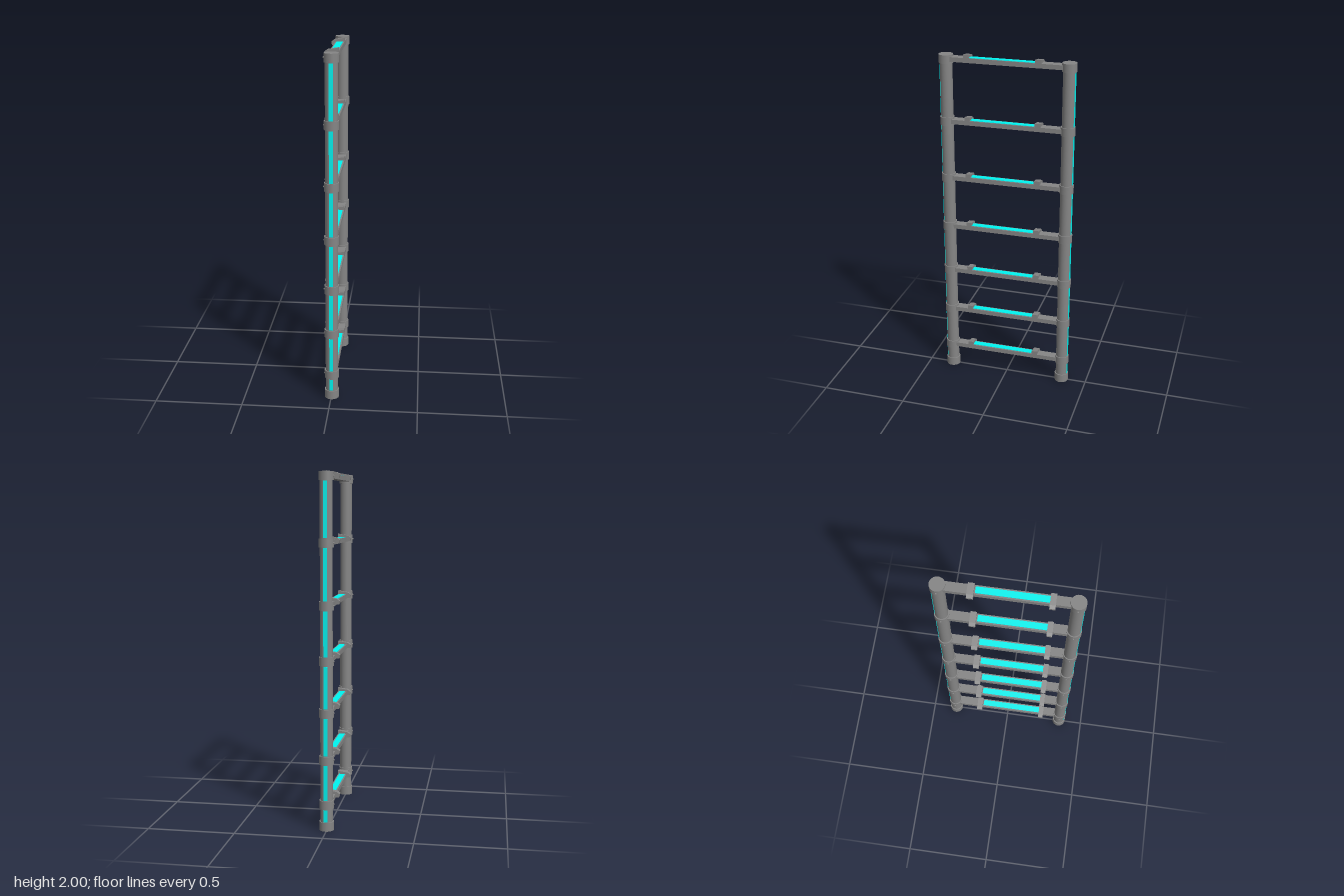
import * as THREE from 'three';

const CX = 0.003;      // rail axis in x
const RAIL_Z = 0.35;   // rail distance from the middle
const rungHeights = [0.149, 0.404, 0.67, 0.96, 1.266, 1.607, 1.965];

const darkGrey = new THREE.MeshStandardMaterial({ color: 0x858585 });
const cyan = new THREE.MeshStandardMaterial({ color: 0x00f4f0 });

function add(parent, name, geometry, material, x, y, z) {
  const mesh = new THREE.Mesh(geometry, material);
  mesh.name = name;
  mesh.position.set(x, y, z);
  parent.add(mesh);
}

// Hook profile in x and y (rung centre at y = 0), extruded along z
function clampGeometry(depth) {
  const shape = new THREE.Shape([
    [-0.022, -0.008], [0.03, -0.004], [0.03, 0.034], [-0.03, 0.024],
    [-0.046, 0.012], [-0.042, -0.008],
  ].map(([x, y]) => new THREE.Vector2(x, y)));
  return new THREE.ExtrudeGeometry(shape, { depth, bevelEnabled: false });
}

function buildRail(side) {
  const rail = new THREE.Group();
  rail.name = side > 0 ? 'frontRail' : 'backRail';
  const z = side * RAIL_Z;
  add(rail, 'railTube', new THREE.CylinderGeometry(0.035, 0.035, 1.97, 32), darkGrey, CX, 0.99, z);

  // Foot, then a collar at every rung
  const collars = [[0, 0.05], ...rungHeights.map((y) => [y - 0.024, y + 0.024])];
  collars.forEach(([low, high], i) => {
    const middle = (low + high) / 2;
    add(rail, i ? 'collar' : 'foot', new THREE.CylinderGeometry(0.041, 0.041, high - low, 32),
      darkGrey, CX, middle, z);
    if (i) add(rail, 'collarPin', new THREE.SphereGeometry(0.005, 12, 8), darkGrey, CX - 0.041, middle, z);

    // Light strip on the outer face between this collar and the next
    const next = collars[i + 1];
    if (next) {
      const length = next[0] - high - 0.006;
      add(rail, 'railStrip', new THREE.BoxGeometry(0.022, length, 0.006), cyan,
        CX, (next[0] + high) / 2, z + side * 0.0328);
    }
  });
  return rail;
}

function buildRung(y) {
  const rung = new THREE.Group();
  rung.name = 'rung';
  rung.position.y = y;
  add(rung, 'rungBar', new THREE.BoxGeometry(0.052, 0.026, 0.66), darkGrey, 0.004, 0, 0);
  add(rung, 'rungStrip', new THREE.BoxGeometry(0.036, 0.006, 0.37), cyan, 0.004, 0.012, 0.025);
  // Hooked clamps at the two ends of the strip
  add(rung, 'frontClamp', clampGeometry(0.03), darkGrey, 0, 0, 0.21);
  add(rung, 'backClamp', clampGeometry(0.034), darkGrey, 0, 0, -0.2);
  return rung;
}

export function createModel() {
  const ladder = new THREE.Group();
  ladder.name = 'ladder';
  for (const side of [1, -1]) ladder.add(buildRail(side));
  for (const y of rungHeights) ladder.add(buildRung(y));
  return ladder;
}
